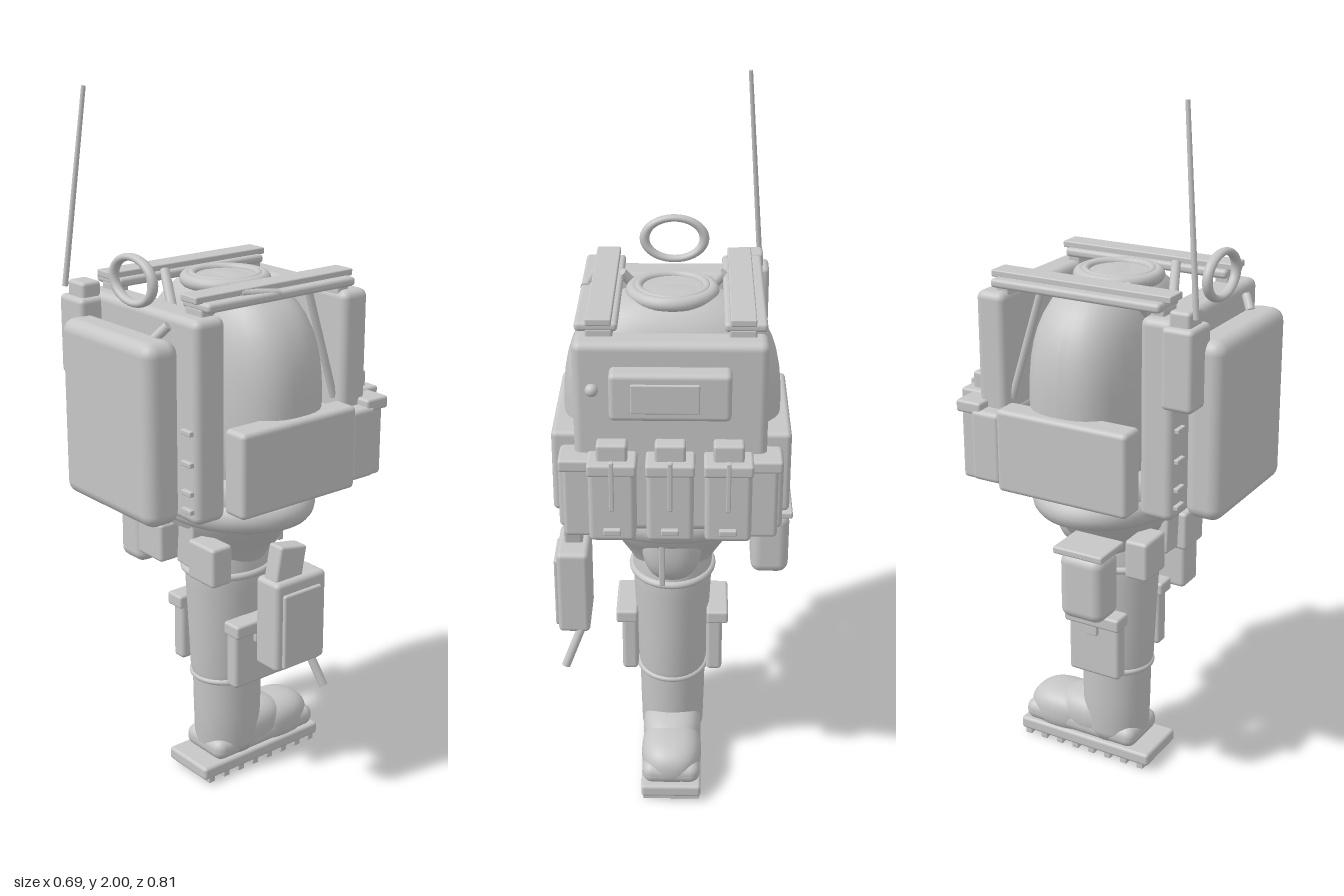
import * as THREE from 'three';
import { RoundedBoxGeometry } from 'three/addons/geometries/RoundedBoxGeometry.js';

export function createModel() {
  const model = new THREE.Group();
  model.name = 'walkerFigure';
  const grey = new THREE.MeshStandardMaterial({ color: 0xc6c6c6, side: THREE.DoubleSide });
  grey.name = 'lightGrey';

  const add = (name, geo, x = 0, y = 0, z = 0) => {
    const mesh = new THREE.Mesh(geo, grey);
    mesh.name = name;
    mesh.position.set(x, y, z);
    model.add(mesh);
    return mesh;
  };
  // Rounded box given by its limits on each axis
  const box = (name, x0, x1, y0, y1, z0, z1, r = 0.012) => {
    const w = x1 - x0, h = y1 - y0, d = z1 - z0;
    const radius = Math.min(r, w * 0.45, h * 0.45, d * 0.45);
    return add(name, new RoundedBoxGeometry(w, h, d, 3, radius), (x0 + x1) / 2, (y0 + y1) / 2, (z0 + z1) / 2);
  };
  // Straight rod between two points
  const rod = (name, a, b, r0, r1 = r0) => {
    const p = new THREE.Vector3(...a), q = new THREE.Vector3(...b);
    const mesh = add(name, new THREE.CylinderGeometry(r1, r0, p.distanceTo(q), 10));
    mesh.position.copy(p).lerp(q, 0.5);
    mesh.quaternion.setFromUnitVectors(new THREE.Vector3(0, 1, 0), q.sub(p).normalize());
    return mesh;
  };
  const lathe = (name, pts, z, sz = 1) => {
    const mesh = add(name, new THREE.LatheGeometry(pts.map(p => new THREE.Vector2(...p)), 40), 0, 0, z);
    mesh.scale.z = sz;
    return mesh;
  };
  // Squared-off ellipsoid
  const blob = (name, x, y, z, rx, ry, rz, n = 2) => {
    const geo = new THREE.SphereGeometry(1, 40, 28), pos = geo.attributes.position;
    for (let i = 0; i < pos.count; i++) {
      const v = new THREE.Vector3().fromBufferAttribute(pos, i);
      const k = (Math.abs(v.x) ** n + Math.abs(v.y) ** n + Math.abs(v.z) ** n) ** (-1 / n);
      pos.setXYZ(i, v.x * k * rx, v.y * k * ry, v.z * k * rz);
    }
    geo.computeVertexNormals();
    return add(name, geo, x, y, z);
  };
  const ring = (name, radius, tube, x, y, z, flat = true) => {
    const geo = new THREE.TorusGeometry(radius, tube, 14, 48);
    if (flat) geo.rotateX(Math.PI / 2);
    return add(name, geo, x, y, z);
  };

  // Foot: ridged sole, boot and toe cap
  box('sole', -0.087, 0.087, 0.016, 0.055, -0.31, 0.135, 0.01);
  for (let i = 0; i < 8; i++) {
    const z = 0.105 - i * 0.056;
    box('soleTread', -0.082, 0.082, 0, 0.02, z - 0.011, z + 0.011, 0.003);
  }
  box('footBase', -0.084, 0.084, 0.05, 0.115, -0.3, 0.08, 0.03);
  blob('toeCap', 0, 0.095, -0.19, 0.088, 0.07, 0.112, 2.5);
  blob('instep', 0, 0.11, -0.08, 0.086, 0.07, 0.13, 2.5);

  // Single leg
  lathe('bootShaft', [[0, 0.06], [0.08, 0.06], [0.092, 0.09], [0.095, 0.2], [0.097, 0.31]], -0.018, 1.08);
  lathe('leg', [[0.094, 0.3], [0.1, 0.33], [0.105, 0.45], [0.112, 0.6], [0.115, 0.68], [0.1, 0.75]], -0.02, 1.15);
  ring('lowerLegBand', 0.097, 0.009, 0, 0.308, -0.02).scale.z = 1.1;
  ring('upperLegBand', 0.114, 0.011, 0, 0.65, -0.02).scale.z = 1.15;

  // Leg pouches
  for (const s of [-1, 1]) {
    const lim = (a, b) => s > 0 ? [a, b] : [-b, -a];
    box('legPouch', ...lim(0.1, 0.146), 0.32, 0.5, -0.095, 0.07);
    box('legPouchFlap', ...lim(0.1, 0.163), 0.485, 0.525, -0.1, 0.078, 0.008);
    box('legPouchClasp', ...lim(0.14, 0.158), 0.455, 0.49, -0.03, 0.005, 0.004);
  }

  // Hips
  lathe('pelvis', [[0.1, 0.66], [0.12, 0.7], [0.165, 0.77], [0.205, 0.81], [0.23, 0.88], [0.24, 0.97], [0, 0.98]], -0.025, 0.9);
  const hipRing = ring('hipRing', 0.232, 0.042, 0, 0.865, -0.025);
  hipRing.scale.z = 0.79;
  blob('rearGuard', 0, 0.785, -0.125, 0.085, 0.12, 0.075, 2.4);
  box('rearTag', 0.018, 0.034, 0.68, 0.82, -0.206, -0.185, 0.004);
  for (const s of [-1, 1]) {
    box('hipPouch', s * 0.117 - 0.056, s * 0.117 + 0.056, 0.675, 0.79, 0.105, 0.175, 0.01);
  }
  box('hipFlap', -0.012, 0.058, 0.69, 0.84, 0.13, 0.155, 0.008).rotation.z = -0.08;

  // Hanging canister
  box('canister', -0.338, -0.228, 0.6, 0.795, -0.01, 0.125, 0.03);
  box('canisterLid', -0.345, -0.222, 0.793, 0.814, -0.02, 0.133, 0.006);

  // Hanging holster
  box('holster', 0.24, 0.332, 0.45, 0.715, -0.1, 0.08, 0.014);
  box('holsterPanel', 0.322, 0.342, 0.46, 0.68, -0.075, 0.06, 0.006);
  box('holsterGrip', 0.26, 0.313, 0.7, 0.805, -0.035, 0.06, 0.008).rotation.x = -0.18;
  rod('holsterNozzle', [0.262, 0.47, -0.085], [0.313, 0.345, -0.115], 0.013);

  // Torso body between the two slabs
  blob('body', 0, 1.17, -0.03, 0.295, 0.33, 0.165, 2.7);
  box('frontSlab', -0.25, 0.25, 0.91, 1.46, 0.19, 0.288, 0.022);
  box('rearSlab', -0.25, 0.25, 0.92, 1.46, -0.312, -0.222, 0.022);
  box('backpack', -0.2, 0.2, 0.91, 1.405, 0.295, 0.402, 0.036);
  for (const s of [-1, 1]) {
    box('sidePack', s * 0.28 - 0.04, s * 0.28 + 0.04, 0.925, 1.162, -0.21, 0.192, 0.014);
    for (const y of [0.95, 1.0, 1.08, 1.165]) {
      box('frameClip', s * 0.215 - 0.02, s * 0.215 + 0.02, y - 0.007, y + 0.007, 0.28, 0.3, 0.003);
    }
  }

  // Top rails and braces
  for (const s of [-1, 1]) {
    box('rail', s * 0.183 - 0.033, s * 0.183 + 0.033, 1.494, 1.513, -0.28, 0.262, 0.004);
    box('railPad', s * 0.19 - 0.055, s * 0.19 + 0.055, 1.472, 1.497, -0.265, 0.245, 0.01);
    for (const z of [-0.245, 0.225]) {
      box('railMount', s * 0.183 - 0.035, s * 0.183 + 0.035, 1.44, 1.48, z - 0.02, z + 0.02, 0.006);
    }
    rod('frontBrace', [s * 0.14, 1.5, 0.09], [-s * 0.13, 1.16, 0.2], 0.014);
    rod('rearBrace', [s * 0.2, 1.48, -0.13], [s * 0.21, 1.16, -0.225], 0.011);
  }

  // Hatch
  ring('hatchOuterRing', 0.106, 0.019, 0, 1.488, -0.01);
  ring('hatchInnerRing', 0.092, 0.012, 0, 1.497, -0.01);
  add('hatchDisc', new THREE.CylinderGeometry(0.09, 0.09, 0.02, 40), 0, 1.488, -0.01);
  rod('hose', [0.235, 1.49, 0.0], [0.208, 1.5, 0.11], 0.012);

  // Lifting ring and lever
  const liftRing = ring('liftingRing', 0.085, 0.014, 0, 1.525, 0.298, false);
  liftRing.scale.set(1, 0.71, 1);
  rod('lever', [0.125, 1.4, 0.325], [0.15, 1.435, 0.3], 0.013);

  // Aerial unit
  box('aerialBox', -0.27, -0.162, 1.23, 1.45, 0.262, 0.352, 0.014);
  box('aerialCap', -0.252, -0.178, 1.44, 1.49, 0.275, 0.335, 0.01);
  rod('aerial', [-0.243, 1.475, 0.348], [-0.205, 2.0, 0.295], 0.008, 0.006);

  // Control panel on the rear slab
  box('panel', -0.155, 0.155, 1.27, 1.4, -0.368, -0.305, 0.014);
  box('panelScreen', -0.075, 0.1, 1.295, 1.375, -0.374, -0.36, 0.004);
  blob('panelKnob', 0.2, 1.335, -0.318, 0.017, 0.017, 0.017);
  box('panelKnobBase', 0.192, 0.208, 1.327, 1.343, -0.32, -0.3, 0.003);

  // Rear belt pouches
  box('beltBody', -0.295, 0.295, 0.93, 1.135, -0.31, -0.218, 0.014);
  for (const s of [-1, 1]) {
    box('cornerPouch', s * 0.235 - 0.045, s * 0.235 + 0.045, 0.925, 1.13, -0.35, -0.29, 0.012);
    box('cornerPouchLid', s * 0.24 - 0.05, s * 0.24 + 0.05, 1.12, 1.155, -0.36, -0.28, 0.008);
  }
  for (const x of [-0.15, 0, 0.15]) {
    box('beltPouch', x - 0.061, x + 0.061, 0.935, 1.14, -0.392, -0.3, 0.014);
    box('beltPouchLid', x - 0.064, x + 0.064, 1.125, 1.16, -0.395, -0.29, 0.008);
    box('beltLoop', x - 0.04, x + 0.04, 1.15, 1.205, -0.37, -0.322, 0.008);
    box('beltStrap', x - 0.006, x + 0.006, 1.03, 1.17, -0.401, -0.385, 0.003);
    box('beltBuckle', x - 0.023, x + 0.023, 0.96, 0.977, -0.405, -0.385, 0.004);
  }
  return model;
}
